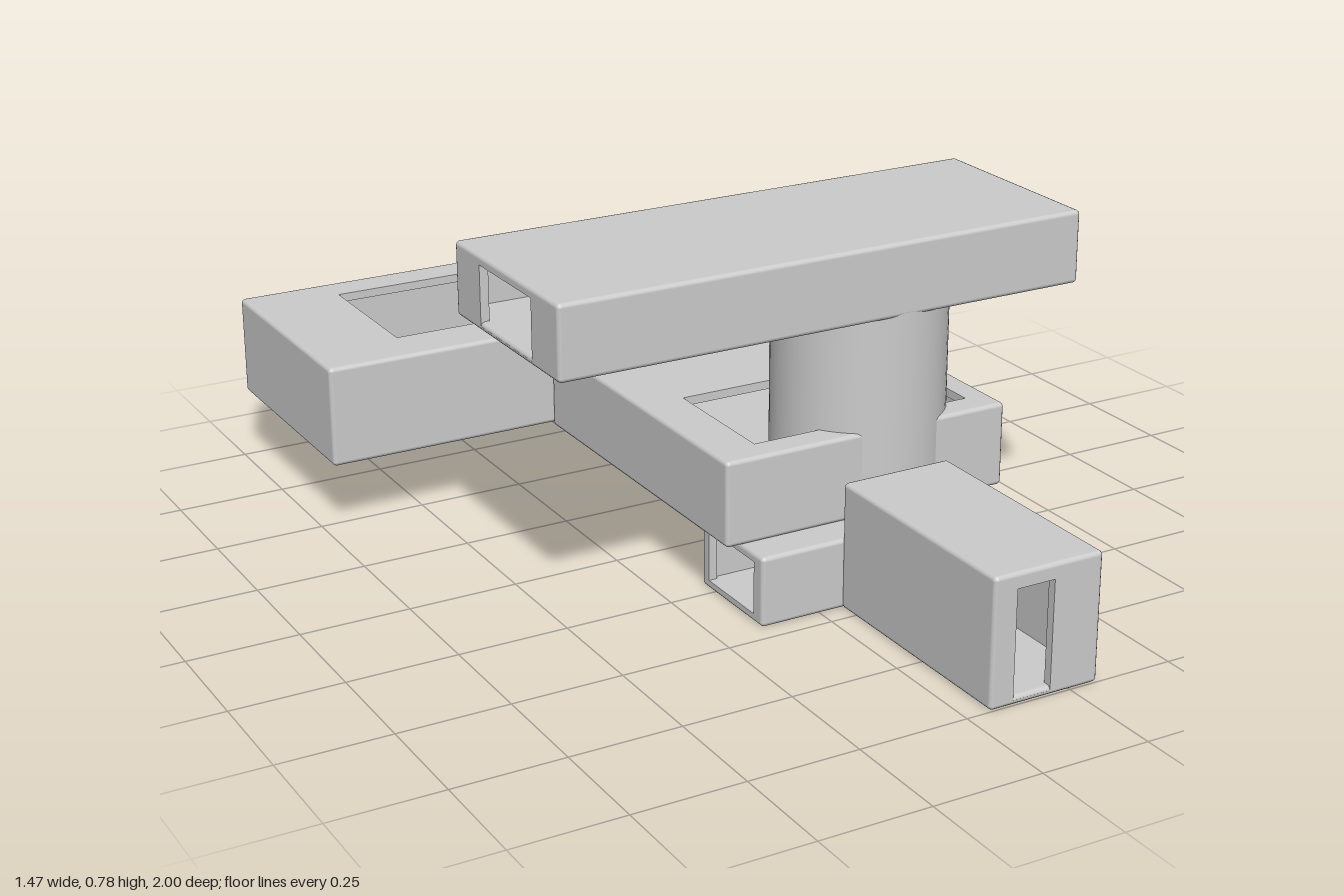
import * as THREE from 'three';

const grey = new THREE.MeshStandardMaterial({ color: 0xcccccc, side: THREE.DoubleSide });
const R = 0.01; // edge rounding; walls are twice as thick
const V = (x, y, z) => new THREE.Vector3(x, y, z);

function mesh(name, geometry, parent) {
  const m = new THREE.Mesh(geometry, grey);
  m.name = name;
  parent.add(m);
  return m;
}

// Flat panel with rectangular [u0,v0,u1,v1] or round [u,v,radius] openings
function panel(u0, v0, u1, v1, holes) {
  const rect = (P, a, b, c, d) => {
    const p = new P();
    p.moveTo(a, b); p.lineTo(c, b); p.lineTo(c, d); p.lineTo(a, d); p.closePath();
    return p;
  };
  const shape = rect(THREE.Shape, u0, v0, u1, v1);
  const e = 0.001;
  for (const h of holes) {
    if (h.length === 3) {
      const c = new THREE.Path();
      c.absarc(h[0], h[1], h[2], 0, Math.PI * 2);
      shape.holes.push(c);
    } else {
      shape.holes.push(rect(THREE.Path, Math.max(h[0], u0 + e), Math.max(h[1], v0 + e),
        Math.min(h[2], u1 - e), Math.min(h[3], v1 - e)));
    }
  }
  return new THREE.ExtrudeGeometry(shape, { depth: 2 * R, bevelEnabled: false, curveSegments: 24 });
}

// Hollow room with rounded edges: openings keyed by side (-x, +x, -y, +y, -z, +z)
function room(name, lo, hi, openings, parent) {
  const g = new THREE.Group();
  g.name = name;
  parent.add(g);
  const ax = { x: V(1, 0, 0), y: V(0, 1, 0), z: V(0, 0, 1) };
  const planes = { x: ['z', 'y', -1], y: ['x', 'z', -1], z: ['x', 'y', 1] };
  for (const a of ['x', 'y', 'z']) {
    const [u, v, s] = planes[a];
    for (const side of ['-', '+']) {
      const geo = panel(lo[u] + R, lo[v] + R, hi[u] - R, hi[v] - R, openings[side + a] || []);
      geo.applyMatrix4(new THREE.Matrix4().makeBasis(ax[u], ax[v], ax[a].clone().multiplyScalar(s)));
      const near = side === '-' ? lo[a] : hi[a] - 2 * R;
      geo.translate(...ax[a].clone().multiplyScalar(s < 0 ? near + 2 * R : near).toArray());
      mesh('wall', geo, g);
    }
    // four rounded edges along this axis
    for (const i of [0, 1]) for (const j of [0, 1]) {
      const edge = mesh('roundedEdge', new THREE.CapsuleGeometry(R, hi[a] - lo[a] - 2 * R, 4, 12), g);
      edge.quaternion.setFromUnitVectors(ax.y, ax[a]);
      edge.position[a] = (lo[a] + hi[a]) / 2;
      edge.position[u] = i ? hi[u] - R : lo[u] + R;
      edge.position[v] = j ? hi[v] - R : lo[v] + R;
    }
  }
  return g;
}

// Straight bar of rectangular section between two points
function bar(name, a, b, w, h, parent) {
  const d = b.clone().sub(a);
  const m = mesh(name, new THREE.BoxGeometry(w, h, d.length()), parent);
  m.position.copy(a).add(b).multiplyScalar(0.5);
  m.lookAt(b);
  return m;
}

export function createModel() {
  const model = new THREE.Group();
  model.name = 'building';

  // Long rear wing with skylight and two rear doorways
  room('rearWing', V(-0.735, 0.165, -1), V(0.735, 0.4, -0.44), {
    '+y': [[-0.52, -0.91, -0.11, -0.56]],
    '-z': [[0.33, 0.165, 0.44, 0.34], [0.11, 0.165, 0.22, 0.34]],
  }, model);

  // Middle wing, its roof cut open around the tower
  room('middleWing', V(-0.185, 0.16, -0.44), V(0.52, 0.355, 0.375), {
    '+y': [[-0.08, 0.0, 0.46, 0.31]],
  }, model);

  // Upper wing with open ends, rear doorway and stairwell in the floor
  room('upperWing', V(-0.58, 0.612, -0.08), V(0.685, 0.778, 0.4), {
    '-x': [[0.04, 0.62, 0.28, 0.757]],
    '+x': [[0.04, 0.62, 0.28, 0.757]],
    '-z': [[0.12, 0.62, 0.395, 0.72]],
    '-y': [[0.245, 0.205, 0.175]],
  }, model);

  // Low annex with a side opening
  room('lowAnnex', V(-0.145, 0, 0.2), V(0.238, 0.16, 0.455), {
    '-x': [[0.23, 0.02, 0.42, 0.14]],
    '+z': [[0.09, 0, 0.21, 0.14]],
  }, model);

  // Entrance block with a tall front doorway
  room('entranceBlock', V(0.055, 0, 0.45), V(0.318, 0.29, 1), {
    '+z': [[0.11, 0, 0.2, 0.255]],
    '-z': [[0.09, 0, 0.21, 0.14]],
  }, model);

  // Round tower
  const tower = new THREE.Group();
  tower.name = 'tower';
  tower.position.set(0.245, 0, 0.205);
  model.add(tower);
  mesh('towerWall', new THREE.CylinderGeometry(0.195, 0.195, 0.465, 64, 1, true), tower).position.y = 0.3875;
  const base = mesh('towerBase', new THREE.CircleGeometry(0.195, 64), tower);
  base.rotation.x = Math.PI / 2;
  base.position.y = 0.155;

  // Curved steps inside the entrance
  const inner = new THREE.Group();
  inner.name = 'curvedSteps';
  model.add(inner);
  for (let i = 0; i < 9; i++) {
    const t = (i / 8) * Math.PI / 2;
    const step = mesh('step', new THREE.BoxGeometry(0.028, 0.006, 0.06), inner);
    step.position.set(0.115 + 0.075 * Math.sin(t), 0.012 + i * 0.0125, 0.38 - 0.08 * (1 - Math.cos(t)));
    step.rotation.y = -t * 0.6;
  }

  // Outdoor stair from the rear wing roof up to the upper wing
  const stair = new THREE.Group();
  stair.name = 'outdoorStair';
  model.add(stair);
  const top = V(0, 0.625, -0.08), foot = V(0, 0.395, -0.485);
  const shift = -0.01; // slight skew towards the foot
  for (const x of [0.122, 0.393]) {
    bar('stringer', top.clone().setX(x), foot.clone().setX(x + shift), 0.008, 0.03, stair);
    bar('handrail', V(x, 0.71, -0.08), V(x + shift, 0.432, -0.545), 0.007, 0.007, stair);
  }
  for (let i = 0; i < 12; i++) {
    const t = (i + 0.4) / 12;
    const tread = mesh('tread', new THREE.BoxGeometry(0.27, 0.007, 0.026), stair);
    tread.position.lerpVectors(top, foot, t).setX(0.2575 + shift * t);
    tread.rotation.y = -0.02;
  }
  return model;
}
